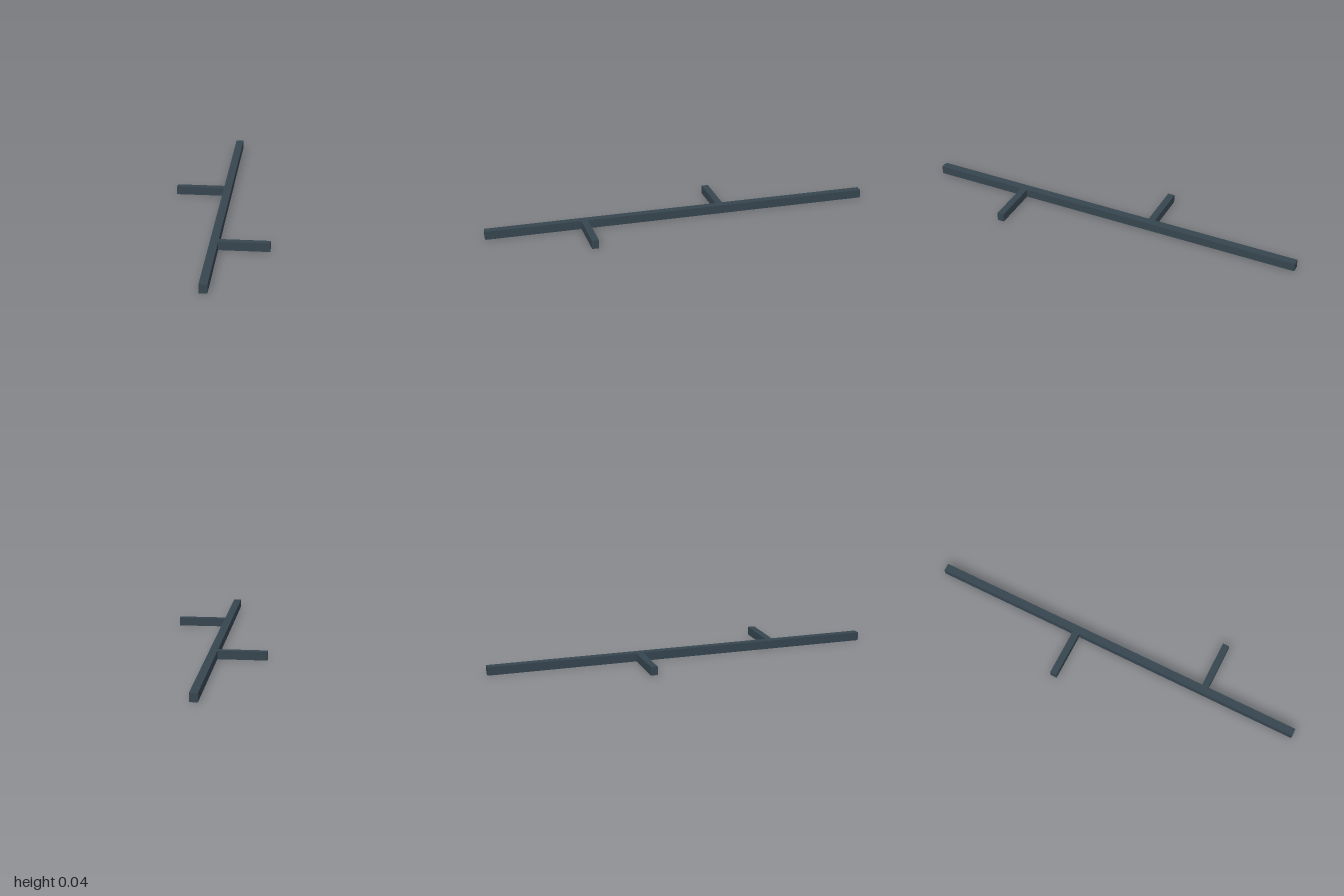
import * as THREE from 'three';

export function createModel() {
  const group = new THREE.Group();
  group.name = 'branchedBar';
  const material = new THREE.MeshStandardMaterial({ color: 0x36454f, flatShading: true });
  const height = 0.043;

  const addBar = (name, width, depth, x, z) => {
    const mesh = new THREE.Mesh(new THREE.BoxGeometry(width, height, depth), material);
    mesh.name = name;
    mesh.position.set(x, height / 2, z);
    group.add(mesh);
  };

  // Long central beam, running front to back
  const beamWidth = 0.04;
  addBar('mainBeam', beamWidth, 2, 0, 0);

  // Short side arms, butted against the beam on opposite sides
  const armLength = 0.25;
  const armOffset = (beamWidth + armLength) / 2;
  addBar('leftArm', armLength, 0.035, armOffset, 0.498);
  addBar('rightArm', armLength, 0.035, -armOffset, -0.222);

  return group;
}
